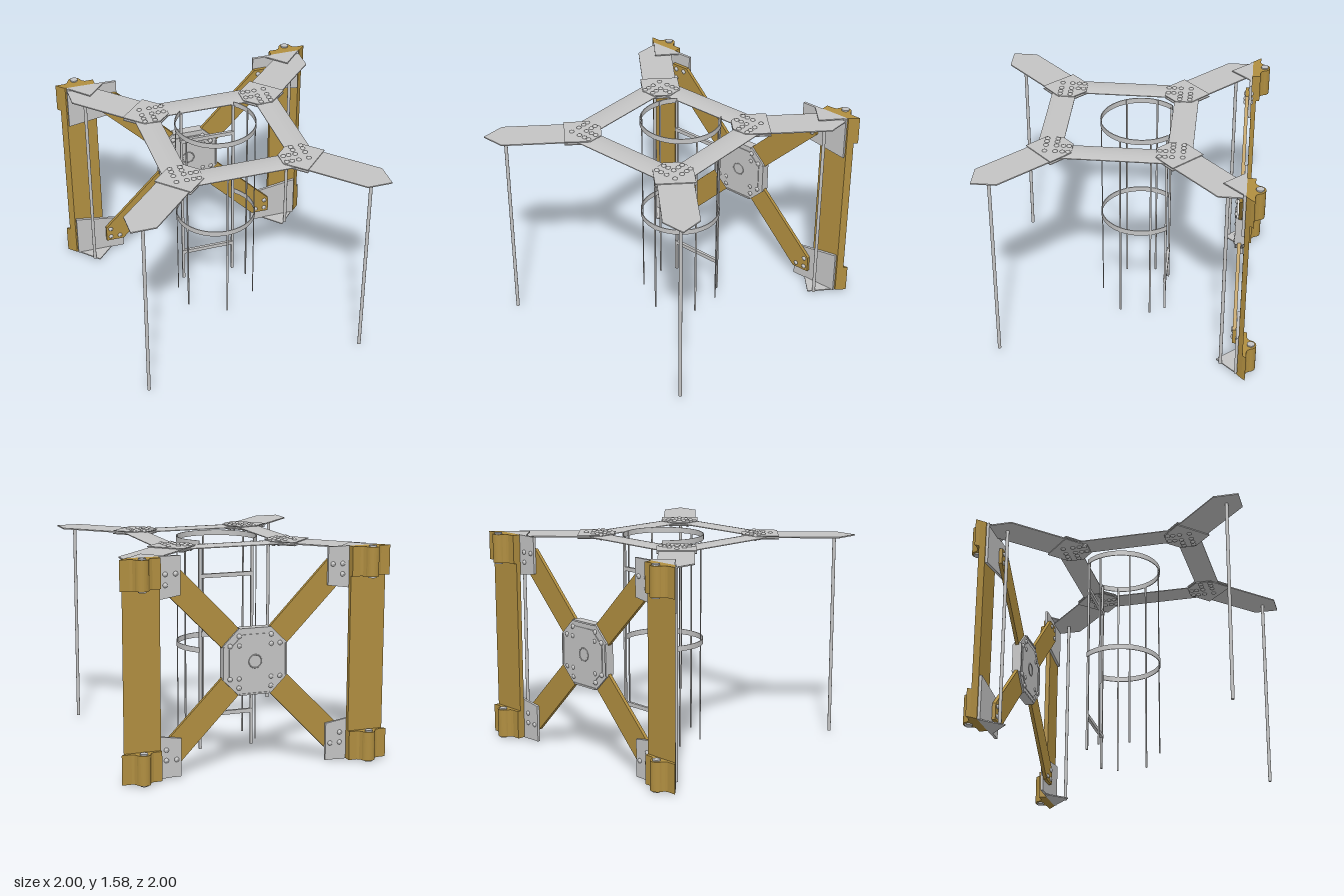
import * as THREE from 'three';

const gray = new THREE.MeshStandardMaterial({ color: 0xc4c4c4 });
gray.name = 'galvanised gray';
const brass = new THREE.MeshStandardMaterial({ color: 0xb08e40 });
brass.name = 'brass';

const MID = 0.07;      // z centre of the top frame
const HUB_Y = 0.795;   // height of the brace centre

function add(parent, name, geo, mat, x = 0, y = 0, z = 0) {
  const m = new THREE.Mesh(geo, mat);
  m.name = name;
  m.position.set(x, y, z);
  parent.add(m);
  return m;
}
const group = (parent, name) => {
  const g = new THREE.Group();
  g.name = name;
  parent.add(g);
  return g;
};
const toShape = pts => pts instanceof THREE.Shape ? pts : new THREE.Shape(pts.map(p => new THREE.Vector2(...p)));

// Horizontal slab from an (x, z) outline
function slab(outline, yLow, yHigh) {
  const g = new THREE.ExtrudeGeometry(toShape(outline), { depth: yHigh - yLow, bevelEnabled: false, curveSegments: 64 });
  g.rotateX(Math.PI / 2);
  g.translate(0, yHigh, 0);
  return g;
}
// Upright panel from an (x, y) outline
function panel(outline, zBack, zFront) {
  const g = new THREE.ExtrudeGeometry(toShape(outline), { depth: zFront - zBack, bevelEnabled: false, curveSegments: 24 });
  g.translate(0, 0, zBack);
  return g;
}
const octagon = (r, c) => [[c, r], [r, c], [r, -c], [c, -r], [-c, -r], [-r, -c], [-r, c], [-c, r]].map(([x, y]) => [x, y + HUB_Y]);

// Domed bolt heads on both faces, joined by a shank
const boltProfile = h => [[0.0, h + 0.014], [0.01, h + 0.011], [0.016, h + 0.006], [0.018, h]].map(p => new THREE.Vector2(...p));
function bolt(parent, x, y, z, half, upright) {
  const top = boltProfile(half).reverse(), low = top.map(p => new THREE.Vector2(p.x, -p.y)).reverse();
  const geo = new THREE.LatheGeometry([...low, ...top], 14);
  const m = add(parent, 'bolt', geo, gray, x, y, z);
  if (!upright) m.rotation.x = Math.PI / 2;
}

// Shallow bowed strip running along x
function bowedStrip(length, width, bow, thick) {
  const n = 10, upper = [], lower = [];
  for (let i = 0; i <= n; i++) {
    const u = -1 + 2 * i / n, y = bow * (1 - u * u);
    upper.push([u * width / 2, y + thick]);
    lower.unshift([u * width / 2, y]);
  }
  const g = new THREE.ExtrudeGeometry(toShape([...upper, ...lower]), { depth: length, bevelEnabled: false });
  g.translate(0, 0, -length / 2);
  g.rotateY(Math.PI / 2);
  return g;
}

function buildTopFrame(root) {
  const frame = group(root, 'topFrame');
  for (const s of [-1, 1]) {
    add(frame, 'crossBeam', bowedStrip(0.74, 0.178, 0.01, 0.006), gray, 0, 1.547, MID + s * 0.46);
    add(frame, 'sideBeam', bowedStrip(0.74, 0.178, 0.01, 0.006), gray, s * 0.46, 1.547, MID).rotation.y = Math.PI / 2;
  }
  for (const sx of [-1, 1]) for (const sz of [-1, 1]) {
    const corner = group(frame, 'frameCorner');
    const at = pts => pts.map(([x, z]) => [sx * x, MID + sz * z]);
    add(corner, 'arm', slab(at([[0.93, 0.75], [0.93, 0.93], [0.75, 0.93], [0.37, 0.55], [0.55, 0.37]]), 1.549, 1.558), gray);
    const gusset = at([[0.425, 0.625], [0.625, 0.425], [0.49, 0.295], [0.375, 0.295], [0.29, 0.38], [0.29, 0.495]]);
    add(corner, 'upperGusset', slab(gusset, 1.56, 1.567), gray);
    add(corner, 'lowerGusset', slab(gusset, 1.54, 1.547), gray);
    const spots = [];
    for (const z of [0.485, 0.41]) for (const x of [0.32, 0.36, 0.41, 0.485]) spots.push([x, z]);
    for (const z of [0.36, 0.32]) for (const x of [0.41, 0.485]) spots.push([x, z]);
    for (const [x, z] of at(spots)) bolt(corner, x, 1.5535, z, 0.0135, true);
    // Hanging rod under the outer end of the arm
    const bottom = sz > 0 ? 0.03 : 0.015, h = 1.552 - bottom;
    add(corner, 'rod', new THREE.CylinderGeometry(0.0125, 0.0125, h, 16), gray, sx * 0.82, bottom + h / 2, sz > 0 ? 0.895 : -0.745);
  }
}

function buildLadder(root) {
  const ladder = group(root, 'cagedLadder');
  const cz = -0.085, r = 0.3, a0 = -Math.PI / 4, a1 = Math.PI * 1.25;
  // Open hoops
  for (const y of [0.75, 1.538]) {
    const s = new THREE.Shape();
    s.absarc(0, cz, r, a0, a1, false);
    s.absarc(0, cz, r - 0.006, a1, a0, true);
    add(ladder, 'hoop', slab(s, y, y + 0.04), gray);
  }
  // Cage strips
  for (const deg of [-18.5, 26.7, 90, 153.3, 198.5]) {
    const a = deg * Math.PI / 180;
    const m = add(ladder, 'cageStrip', new THREE.BoxGeometry(0.006, 1.56, 0.013), gray, Math.cos(a) * (r - 0.006), 0.795, cz + Math.sin(a) * (r - 0.006));
    m.rotation.y = -a;
  }
  for (const s of [-1, 1]) add(ladder, 'stile', new THREE.BoxGeometry(0.02, 1.54, 0.015), gray, s * 0.203, 0.785, -0.287);
  for (const y of [0.275, 1.315]) add(ladder, 'rung', new THREE.BoxGeometry(0.42, 0.03, 0.022), gray, 0, y, -0.285);
}

function buildBrace(root) {
  const brace = group(root, 'crossBrace');
  for (const sx of [-1, 1]) for (const sy of [-1, 1]) {
    const at = pts => pts.map(([x, y]) => [sx * x, HUB_Y + sy * y]);
    add(brace, 'diagonal', panel(at([[0.555, 0.69], [0.695, 0.69], [0.695, 0.565], [0.17, 0.035], [0.03, 0.15]]), -0.849, -0.823), brass);
    // Plate tying the diagonal to the column
    add(brace, 'cornerPlate', panel(at([[0.55, 0.78], [0.93, 0.78], [0.93, 0.447], [0.55, 0.505]]), -0.87, -0.85), gray);
    for (const [x, y] of at([[0.585, 0.655], [0.66, 0.655], [0.66, 0.58]])) bolt(brace, x, y, -0.8465, 0.0235, false);
    for (const [x, y] of at([[0.12, 0.185], [0.12, 0.118], [0.187, 0.118]])) bolt(brace, x, y, -0.836, 0.03, false);
  }
  // Octagonal hub: two plates, each with a raised field and a ring boss
  const hub = group(brace, 'hub');
  for (const s of [-1, 1]) {
    const face = (name, outline, a, b) => {
      const z = [-0.836 + s * a, -0.836 + s * b].sort((p, q) => p - q);
      add(hub, name, panel(outline, z[0], z[1]), gray);
    };
    face('hubPlate', octagon(0.24, 0.12), 0.014, 0.028);
    const inner = octagon(0.195, 0.095);
    face('hubField', inner, 0.028, 0.034);
    const ring = new THREE.TorusGeometry(0.047, 0.004, 8, 32);
    add(hub, 'hubBoss', ring, gray, 0, HUB_Y, -0.836 + s * 0.034);
  }
  // Folded lips along the four straight sides
  for (let i = 0; i < 4; i++) {
    const a = i * Math.PI / 2;
    const lip = add(hub, 'hubLip', new THREE.BoxGeometry(0.23, 0.012, 0.07), gray, Math.sin(a) * 0.234, HUB_Y + Math.cos(a) * 0.234, -0.836);
    lip.rotation.z = -a;
  }
}

function buildColumns(root) {
  for (const s of [-1, 1]) {
    const col = group(root, s > 0 ? 'leftColumn' : 'rightColumn');
    const at = pts => pts.map(([x, z]) => [s * x, z]);
    add(col, 'post', slab(at([[0.71, -0.87], [0.94, -0.87], [0.978, -0.905], [0.71, -0.905]]), 0.015, 1.575), brass);
    // Humped saddle with a pin through it at each end
    const hump = [];
    for (let i = 0; i <= 14; i++) {
      const a = (10 + 160 * i / 14) * Math.PI / 180;
      hump.push([0.85 + 0.05 * Math.cos(a), -0.95 - 0.05 * Math.sin(a)]);
    }
    const saddle = at([[0.978, -0.905], [1, -0.93], [0.93, -0.93], [0.912, -0.938], ...hump, [0.788, -0.938], [0.77, -0.93], [0.71, -0.93], [0.71, -0.905]]);
    for (const y of [0.015, 1.362]) {
      add(col, 'saddle', slab(saddle, y, y + 0.213), brass);
      add(col, 'pin', new THREE.CylinderGeometry(0.028, 0.028, 0.233, 20), gray, s * 0.85, y + 0.1065, -0.96);
    }
    // Triangular end plates
    const tri = at([[0.93, -0.868], [0.785, -0.712], [0.64, -0.868]]);
    add(col, 'topPlate', slab(tri, 1.566, 1.575), gray);
    add(col, 'footPlate', slab(tri, 0.012, 0.021), gray);
  }
}

export function createModel() {
  const root = new THREE.Group();
  root.name = 'bracedFrameWithLadder';
  buildTopFrame(root);
  buildLadder(root);
  buildBrace(root);
  buildColumns(root);
  return root;
}
